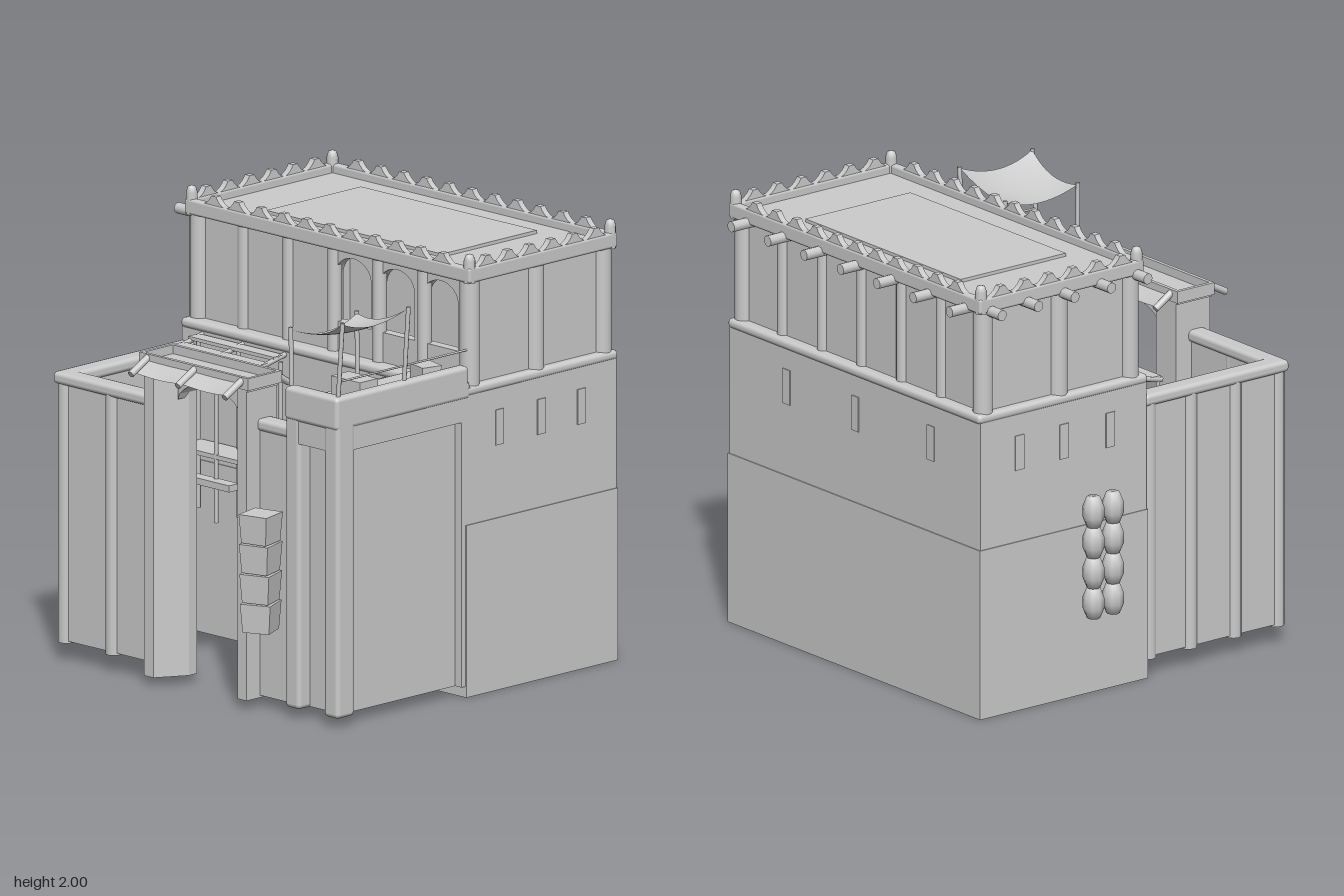
import * as THREE from 'three';
import { RoundedBoxGeometry } from 'three/addons/geometries/RoundedBoxGeometry.js';
import { ParametricGeometry } from 'three/addons/geometries/ParametricGeometry.js';

export function createModel() {
  const root = new THREE.Group();
  const mat = new THREE.MeshStandardMaterial({ color: 0xcccccc, side: THREE.DoubleSide });
  const flat = new THREE.MeshStandardMaterial({ color: 0xcccccc, side: THREE.DoubleSide, flatShading: true });

  const add = (name, geo, x = 0, y = 0, z = 0, m = mat) => {
    const mesh = new THREE.Mesh(geo, m);
    mesh.name = name;
    mesh.position.set(x, y, z);
    root.add(mesh);
    return mesh;
  };
  // box given by its limits, with optional rounded edges
  const box = (name, x0, x1, y0, y1, z0, z1, r = 0) => {
    const s = [x1 - x0, y1 - y0, z1 - z0];
    const geo = r ? new RoundedBoxGeometry(...s, 2, r) : new THREE.BoxGeometry(...s);
    return add(name, geo, (x0 + x1) / 2, (y0 + y1) / 2, (z0 + z1) / 2);
  };
  // round bar between two points
  const bar = (name, a, b, r, sides = 8) => {
    const p = new THREE.Vector3(...a), q = new THREE.Vector3(...b);
    const mid = p.clone().add(q).multiplyScalar(0.5);
    const mesh = add(name, new THREE.CylinderGeometry(r, r, p.distanceTo(q), sides), mid.x, mid.y, mid.z);
    mesh.quaternion.setFromUnitVectors(new THREE.Vector3(0, 1, 0), q.sub(p).normalize());
    return mesh;
  };
  const rectPath = (P, x0, x1, z0, z1) => new P([[x0, z0], [x1, z0], [x1, z1], [x0, z1]].map(p => new THREE.Vector2(...p)));
  // four walls around an open middle
  const ring = (name, x0, x1, z0, z1, t, y0, y1) => {
    const s = rectPath(THREE.Shape, x0, x1, -z1, -z0);
    s.holes.push(rectPath(THREE.Path, x0 + t, x1 - t, -z1 + t, -z0 - t));
    const geo = new THREE.ExtrudeGeometry(s, { depth: y1 - y0, bevelEnabled: false });
    return add(name, geo.rotateX(-Math.PI / 2), 0, y0, 0);
  };
  const lathe = (name, pts, x, y, z, sides = 8) =>
    add(name, new THREE.LatheGeometry(pts.map(p => new THREE.Vector2(...p)), sides), x, y, z);

  // House: lower walls, open underneath
  ring('houseBase', -0.84, 0.93, -0.915, 0.03, 0.02, 0, 0.78);
  ring('houseWall', -0.835, 0.925, -0.91, 0.025, 0.02, 0.78, 1.38);
  box('terraceSlab', -0.84, 0.93, 1.36, 1.405, -0.92, 0.035, 0.02);
  for (const z of [-0.18, -0.44, -0.69]) {
    box('slitWindow', 0.915, 0.93, 1.11, 1.27, z - 0.025, z + 0.025);
    box('slitWindow', -0.84, -0.82, 1.11, 1.27, z - 0.025, z + 0.025);
  }
  for (const x of [0.52, 0.04, -0.49]) box('slitWindow', x - 0.025, x + 0.025, 1.11, 1.27, -0.915, -0.9);

  // Upper storey: solid walls, arcade at the front right
  box('upperWall', -0.8, 0.03, 1.4, 1.88, -0.87, -0.03);
  box('upperWall', 0.03, 0.89, 1.4, 1.88, -0.87, -0.15);
  box('upperEndWall', 0.86, 0.89, 1.4, 1.88, -0.15, -0.03);
  const arcade = rectPath(THREE.Shape, 0.03, 0.89, 1.4, 1.88);
  for (const x of [0.17, 0.44, 0.71]) {
    const hole = new THREE.Path();
    hole.moveTo(x - 0.11, 1.54);
    hole.lineTo(x + 0.11, 1.54);
    hole.lineTo(x + 0.11, 1.75);
    hole.absellipse(x, 1.75, 0.11, 0.09, 0, Math.PI, false);
    arcade.holes.push(hole);
  }
  add('arcade', new THREE.ExtrudeGeometry(arcade, { depth: 0.05, bevelEnabled: false, curveSegments: 16 }), 0, 0, -0.08);
  const column = (x, z, r) => add('pilaster', new THREE.CylinderGeometry(r, r, 0.48, 14, 1, true), x, 1.64, z);
  for (let i = 0; i < 7; i++) {
    const x = -0.79 + i * 0.2783, r = i % 6 ? 0.032 : 0.045;
    column(x, -0.04, r);
    column(x, -0.86, r);
  }
  for (const x of [-0.79, 0.88]) column(x, -0.44, 0.045);

  // Roof, cornice and battlements
  box('roof', -0.81, 0.9, 1.87, 1.9, -0.89, -0.02);
  box('roofPanel', -0.5, 0.59, 1.9, 1.915, -0.75, -0.16);
  for (const z of [-0.895, -0.01]) box('cornice', -0.84, 0.93, 1.87, 1.94, z - 0.02, z + 0.02, 0.012);
  for (const x of [-0.82, 0.91]) box('cornice', x - 0.02, x + 0.02, 1.87, 1.94, -0.915, 0.01, 0.012);
  const merlon = (x, z, along) => {
    const s = new THREE.Shape();
    s.moveTo(-0.06, 0);
    s.quadraticCurveTo(-0.03, 0.012, -0.015, 0.042);
    s.lineTo(0.015, 0.042);
    s.quadraticCurveTo(0.03, 0.012, 0.06, 0);
    const geo = new THREE.ExtrudeGeometry(s, { depth: 0.03, bevelEnabled: false, curveSegments: 4 });
    add('merlon', geo.translate(0, 0, -0.015), x, 1.937, z).rotation.y = along ? Math.PI / 2 : 0;
  };
  for (let i = 0; i < 11; i++) for (const z of [-0.895, -0.01]) merlon(-0.66 + i * 0.141, z, false);
  for (let i = 0; i < 6; i++) for (const x of [-0.82, 0.91]) merlon(x, -0.11 - i * 0.135, true);
  for (const x of [-0.815, 0.905]) for (const z of [-0.89, -0.015])
    lathe('cornerKnob', [[0.026, -0.07], [0.026, 0.03], [0.018, 0.055], [0, 0.062]], x, 1.938, z, 10);
  for (let i = 0; i < 7; i++) bar('roofBeam', [-0.73 + i * 0.255, 1.875, -1], [-0.73 + i * 0.255, 1.875, -0.85], 0.025, 10);
  for (let i = 0; i < 5; i++) bar('roofBeam', [-0.915, 1.875, -0.85 + i * 0.205], [-0.78, 1.875, -0.85 + i * 0.205], 0.025, 10);

  // Courtyard walls with coping and round posts
  box('sideWall', -0.82, -0.76, 0.09, 1.27, 0.02, 0.8);
  box('frontWall', -0.82, -0.2, 0.09, 1.27, 0.755, 0.805);
  box('frontWallShort', 0.36, 0.62, 0.05, 1.27, 0.72, 0.775);
  box('coping', -0.84, -0.745, 1.25, 1.305, 0.02, 0.83, 0.02);
  box('coping', -0.84, -0.22, 1.25, 1.305, 0.74, 0.83, 0.02);
  box('coping', 0.38, 0.62, 1.25, 1.305, 0.7, 0.79, 0.02);
  for (const [x, z] of [[-0.795, 0.785], [-0.495, 0.79], [-0.8, 0.54], [-0.8, 0.29], [-0.8, 0.06]])
    bar('wallPost', [x, 0.08, z], [x, 1.26, z], 0.038, 12);

  // Gate: splayed piers, arched head, trough-shaped top, awnings
  for (const [inner, outer] of [[-0.1, -0.24], [0.26, 0.395]]) {
    const k = outer + (inner - outer) * 0.42;
    const s = new THREE.Shape([[outer, -0.86], [k, -0.86], [inner, -0.72], [inner, -0.67], [outer, -0.67]].map(p => new THREE.Vector2(...p)));
    add('gatePier', new THREE.ExtrudeGeometry(s, { depth: 1.42, bevelEnabled: false }).rotateX(-Math.PI / 2), 0, 0.04, 0);
  }
  const head = new THREE.Shape();
  head.moveTo(-0.11, 1.3);
  head.bezierCurveTo(-0.09, 1.42, 0.25, 1.42, 0.27, 1.3);
  head.lineTo(0.27, 1.46);
  head.lineTo(-0.11, 1.46);
  add('gateArch', new THREE.ExtrudeGeometry(head, { depth: 0.1, bevelEnabled: false }), 0, 0, 0.68);
  ring('gateRim', -0.26, 0.415, 0.66, 0.87, 0.018, 1.45, 1.505);
  box('gateTop', -0.25, 0.405, 1.44, 1.465, 0.67, 0.86);
  const awning = (z0, z1) => {
    add('awning', new ParametricGeometry((u, v, p) => {
      const sag = Math.abs(Math.sin(u * Math.PI * 2));
      p.set(-0.22 + u * 0.6, 1.48 - v * 0.045 - sag * v * 0.012, z0 + (z1 - z0) * v * (1 - 0.1 * sag));
    }, 24, 4));
    for (const x of [-0.21, 0.08, 0.37]) bar('awningPole', [x, 1.49, z0], [x, 1.43, z1 + (z1 - z0) * 0.25], 0.016);
  };
  awning(0.86, 0.95);
  awning(0.67, 0.595);

  // Tower with recessed front and side panels
  box('towerCore', 0.61, 0.885, 0.05, 1.4, 0.02, 0.76);
  for (const x of [0.645, 0.885]) box('towerFrontPier', x - 0.045, x + 0.045, 0.045, 1.4, 0.72, 0.83, 0.02);
  box('towerBackPier', 0.84, 0.925, 0.05, 1.4, 0.0, 0.055);
  box('towerFrontLintel', 0.61, 0.92, 1.25, 1.4, 0.74, 0.825);
  box('towerSideLintel', 0.85, 0.925, 1.25, 1.4, 0.02, 0.8);
  box('towerDeck', 0.6, 0.93, 1.35, 1.43, 0.0, 0.835, 0.02);
  box('towerParapet', 0.87, 0.93, 1.38, 1.5, 0.01, 0.835, 0.02);
  box('towerParapet', 0.6, 0.93, 1.38, 1.5, 0.765, 0.835, 0.02);
  const crate = box('deckCrate', 0.745, 0.855, 1.42, 1.51, 0.1, 0.2);
  crate.rotation.y = -0.25;
  box('deckBench', 0.66, 0.84, 1.42, 1.515, 0.49, 0.6);

  // Cloth canopy on poles, with a rope rail
  for (const z of [0.385, 0.795]) {
    bar('canopyPole', [0.61, 1.38, z], [0.605, 1.76, z], 0.01);
    bar('canopyPole', [0.895, 1.45, z], [0.925, 1.835, z], 0.01);
  }
  add('canopyCloth', new ParametricGeometry((u, v, p) => {
    const sx = 4 * u * (1 - u), sz = 4 * v * (1 - v);
    p.set(0.605 + 0.32 * u - 0.012 * sz * (2 * u - 1), 1.75 + 0.08 * u - 0.035 * sx - 0.045 * sz + 0.02 * sx * sz, 0.385 + 0.41 * v - 0.015 * sx * (2 * v - 1));
  }, 14, 14));
  bar('ropeRail', [0.9, 1.565, 0.0], [0.9, 1.565, 0.795], 0.005, 6);

  // Stairs rising along the tower to the terrace
  for (let i = 0; i < 10; i++)
    box('stairStep', 0.42, 0.6, 0.5 + i * 0.08, 0.64 + i * 0.08, 0.585 - i * 0.062, 0.65 - i * 0.062);

  // Courtyard stall, bench and vessels
  for (const x of [-0.71, -0.46, -0.2]) {
    for (const z of [0.05, 0.19]) bar('stallLeg', [x, 0.57, z], [x, 1.32, z], 0.01, 6);
    bar('stallRafter', [x, 1.35, 0.02], [x, 1.31, 0.21], 0.013, 6);
  }
  for (const [z, y] of [[0.07, 1.345], [0.165, 1.325]]) box('stallPlank', -0.72, -0.19, y - 0.008, y + 0.008, z - 0.033, z + 0.033);
  box('stallTable', -0.7, -0.2, 0.86, 0.88, 0.04, 0.2);
  box('bench', -0.68, -0.33, 0.74, 0.77, 0.18, 0.24);
  const barrel = h => [[0, 0], [0.055, 0], [0.083, h * 0.45], [0.062, h], [0.05, h], [0.05, h - 0.03], [0, h - 0.03]];
  lathe('barrel', barrel(0.2), 0.33, 0.6, 0.3).material = flat;
  lathe('barrel', barrel(0.36), 0.33, 0.6, 0.1).material = flat;
  for (const d of [-0.05, 0, 0.05]) bar('barrelTool', [0.33 - d * 0.3, 0.8, 0.1], [0.33 + d, 1.06, 0.08 + d * 0.5], 0.008, 6);
  lathe('smallPot', barrel(0.13), -0.17, 0.88, 0.12, 6).scale.set(0.7, 1, 0.7);
  lathe('smallPot', barrel(0.13), -0.41, 0.58, 0.6, 6).scale.set(0.75, 1, 0.65);

  // Strings of jars on the side wall and a stack of baskets by the gate
  for (const z of [-0.32, -0.21]) for (let i = 0; i < 4; i++)
    lathe('hangingJar', [[0, -0.07], [0.03, -0.07], [0.048, -0.025], [0.048, 0.025], [0.03, 0.07], [0, 0.07]], -0.893, 0.435 + i * 0.14, z);
  for (let i = 0; i < 4; i++) {
    const geo = new THREE.CylinderGeometry(0.1, 0.088, 0.13, 4, 1).rotateY(Math.PI / 4);
    add('basket', geo, 0.523, 0.455 + i * 0.134, 0.9, flat).rotation.y = 0.42 - i * 0.06;
  }
  return root;
}
